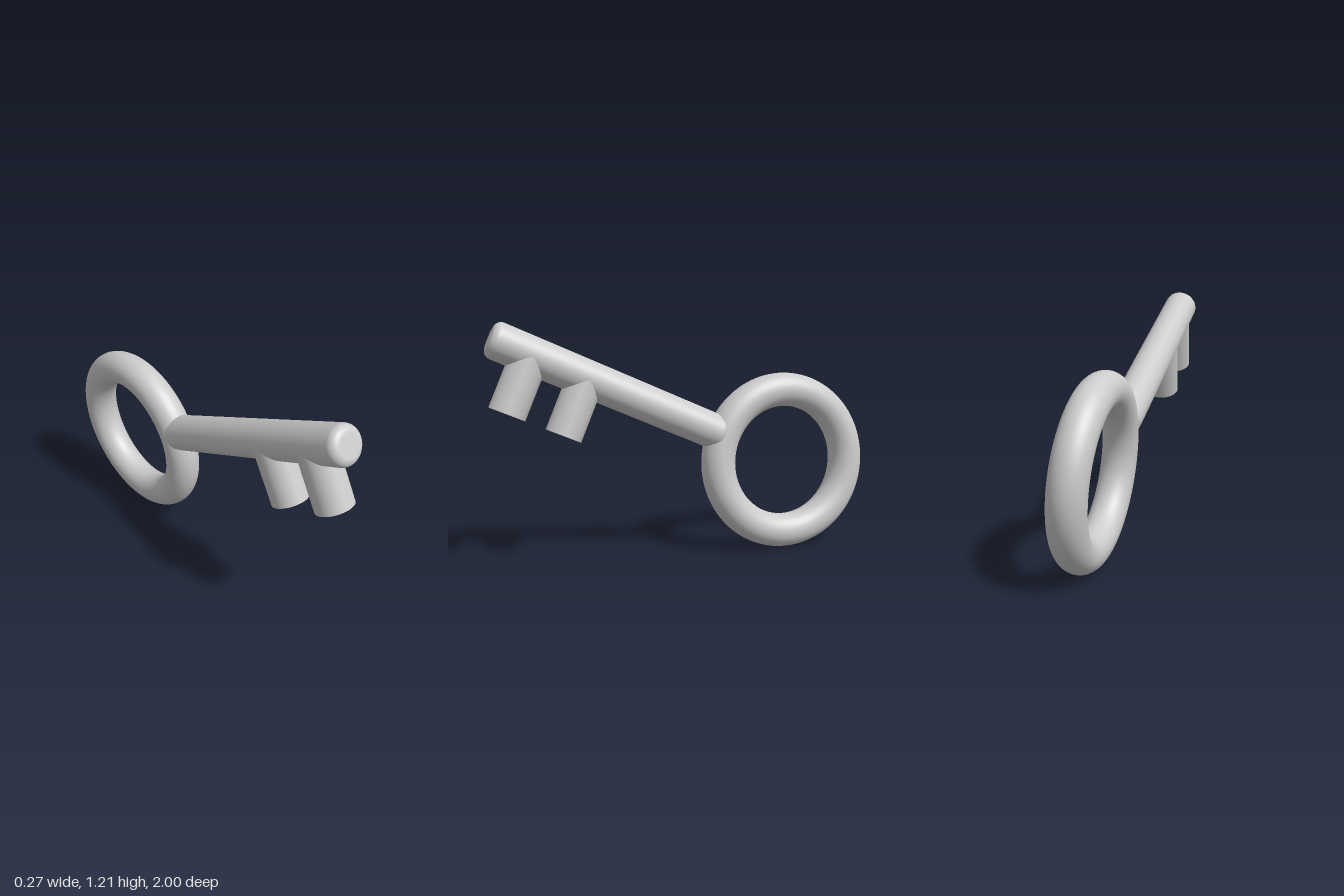
import * as THREE from 'three';

const RING_R = 0.378, TUBE_R = 0.0885;
const SHAFT_R = 0.092, SHAFT_START = 0.385, SHAFT_END = 1.656, FILLET = 0.04;
const BIT_R = 0.091, BIT_LENGTH = 0.302;

const material = new THREE.MeshStandardMaterial({ color: 0xcccccc });

function addPart(parent, name, geometry) {
  const mesh = new THREE.Mesh(geometry, material);
  mesh.name = name;
  parent.add(mesh);
  return mesh;
}

// Rod profile with softly rounded rims at both ends
function rodProfile(radius, start, end, fillet) {
  const path = new THREE.Path();
  path.moveTo(0, start);
  path.lineTo(radius - fillet, start);
  path.absarc(radius - fillet, start + fillet, fillet, -Math.PI / 2, 0, false);
  path.lineTo(radius, end - fillet);
  path.absarc(radius - fillet, end - fillet, fillet, 0, Math.PI / 2, false);
  path.lineTo(0, end);
  return path.getPoints(10);
}

export function createModel() {
  const model = new THREE.Group();
  model.name = 'key';

  // Key frame: origin at the ring centre, shaft along +z, bits along -y
  const key = new THREE.Group();
  key.name = 'tiltedKey';
  key.position.set(0.0125, 0.466, -0.533);
  key.rotation.set(THREE.MathUtils.degToRad(-24.1), 0, THREE.MathUtils.degToRad(5), 'ZYX');
  model.add(key);

  // Ring handle
  const ring = addPart(key, 'ringHandle', new THREE.TorusGeometry(RING_R, TUBE_R, 40, 96));
  ring.rotation.y = Math.PI / 2;

  // Shaft, running into the ring
  const profile = rodProfile(SHAFT_R, SHAFT_START, SHAFT_END, FILLET);
  const shaft = addPart(key, 'shaft', new THREE.LatheGeometry(profile, 64));
  shaft.rotation.x = Math.PI / 2;

  // Two round bits under the far end of the shaft
  [1.162, 1.451].forEach((along, i) => {
    const bit = addPart(key, `bit${i + 1}`, new THREE.CylinderGeometry(BIT_R, BIT_R, BIT_LENGTH, 64));
    bit.position.set(0, -BIT_LENGTH / 2, along);
  });

  return model;
}
